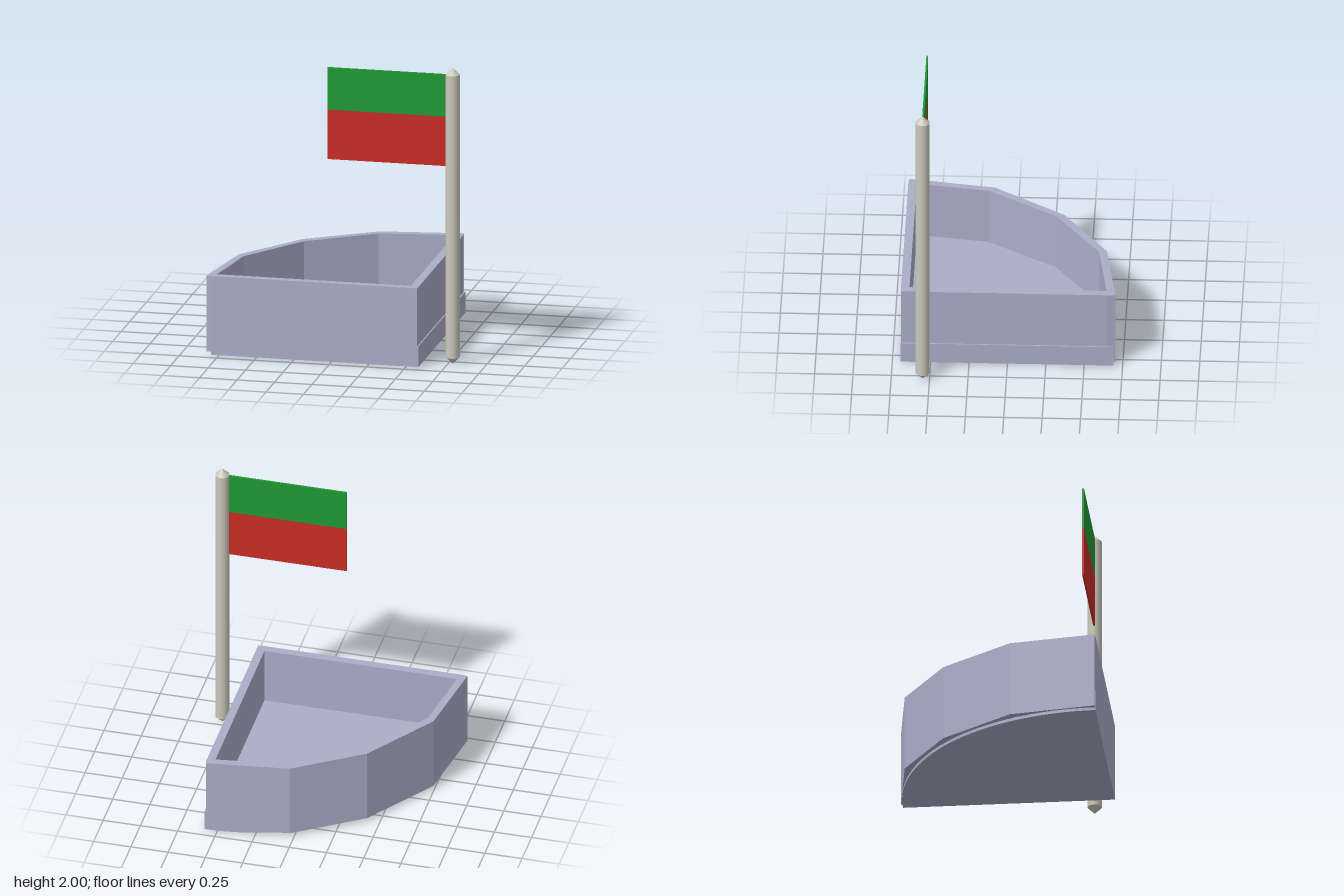
import * as THREE from 'three';

const paint = (name, color) => {
  const m = new THREE.MeshStandardMaterial({ color });
  m.name = name;
  return m;
};

export function createModel() {
  const group = new THREE.Group();
  const stone = paint('lavender grey', 0xabadc8);
  const poleMat = paint('pale beige', 0xcbc7ba);
  const green = paint('flag green', 0x209a35);
  const red = paint('flag red', 0xca2d24);

  const add = (name, geometry, material, x = 0, y = 0, z = 0) => {
    const mesh = new THREE.Mesh(geometry, material);
    mesh.name = name;
    mesh.position.set(x, y, z);
    group.add(mesh);
    return mesh;
  };
  // Box given by its lower and upper corners
  const block = (name, material, a, b) => add(name,
    new THREE.BoxGeometry(b[0] - a[0], b[1] - a[1], b[2] - a[2]), material,
    (a[0] + b[0]) / 2, (a[1] + b[1]) / 2, (a[2] + b[2]) / 2);
  // Plan shape (drawn with y = -z) raised from y0 to y1
  const slab = (name, shape, y0, y1, curveSegments = 12) => {
    const g = new THREE.ExtrudeGeometry(shape, { depth: y1 - y0, bevelEnabled: false, curveSegments });
    g.rotateX(-Math.PI / 2);
    return add(name, g, stone, 0, y0, 0);
  };

  // Quarter-round floor slab
  const floor = new THREE.Shape();
  floor.moveTo(0.585, -0.695);
  floor.lineTo(0.585, 0.69);
  floor.absarc(0.585, -0.695, 1.385, Math.PI / 2, Math.PI, false);
  floor.closePath();
  slab('floor', floor, 0.01, 0.15, 24);

  // Four straight panels following the arc
  const outer = [[-0.83, 0.69], [-0.743, 0.13], [-0.417, -0.335], [0.027, -0.628], [0.573, -0.702]];
  const inner = [[-0.78, 0.695], [-0.70, 0.165], [-0.40, -0.28], [0.03, -0.575], [0.58, -0.653]];
  for (let i = 0; i < 4; i++) {
    const corners = [outer[i], inner[i], inner[i + 1], outer[i + 1]];
    slab('curvedWallPanel' + (i + 1),
      new THREE.Shape(corners.map(([x, z]) => new THREE.Vector2(x, -z))), 0.03, 0.54);
  }

  // Two straight walls standing on the floor slab
  block('frontWall', stone, [-0.78, 0.15, 0.64], [0.577, 0.54, 0.695]);
  block('sideWall', stone, [0.522, 0.15, -0.655], [0.577, 0.54, 0.64]);

  // Flagpole with pointed ends
  const px = 0.78, pz = 0.545, r = 0.046;
  add('pole', new THREE.CylinderGeometry(r, r, 1.905, 32, 1, true), poleMat, px, 1.0025, pz);
  add('poleTip', new THREE.ConeGeometry(r, 0.045, 32, 1, true), poleMat, px, 1.9775, pz);
  add('poleFoot', new THREE.ConeGeometry(r, 0.045, 32, 1, true), poleMat, px, 0.0275, pz)
    .rotation.x = Math.PI;

  // Two-band flag
  block('flagUpperBand', green, [-0.055, 1.67, 0.539], [px, 1.955, 0.551]);
  block('flagLowerBand', red, [-0.055, 1.337, 0.539], [px, 1.67, 0.551]);

  return group;
}
